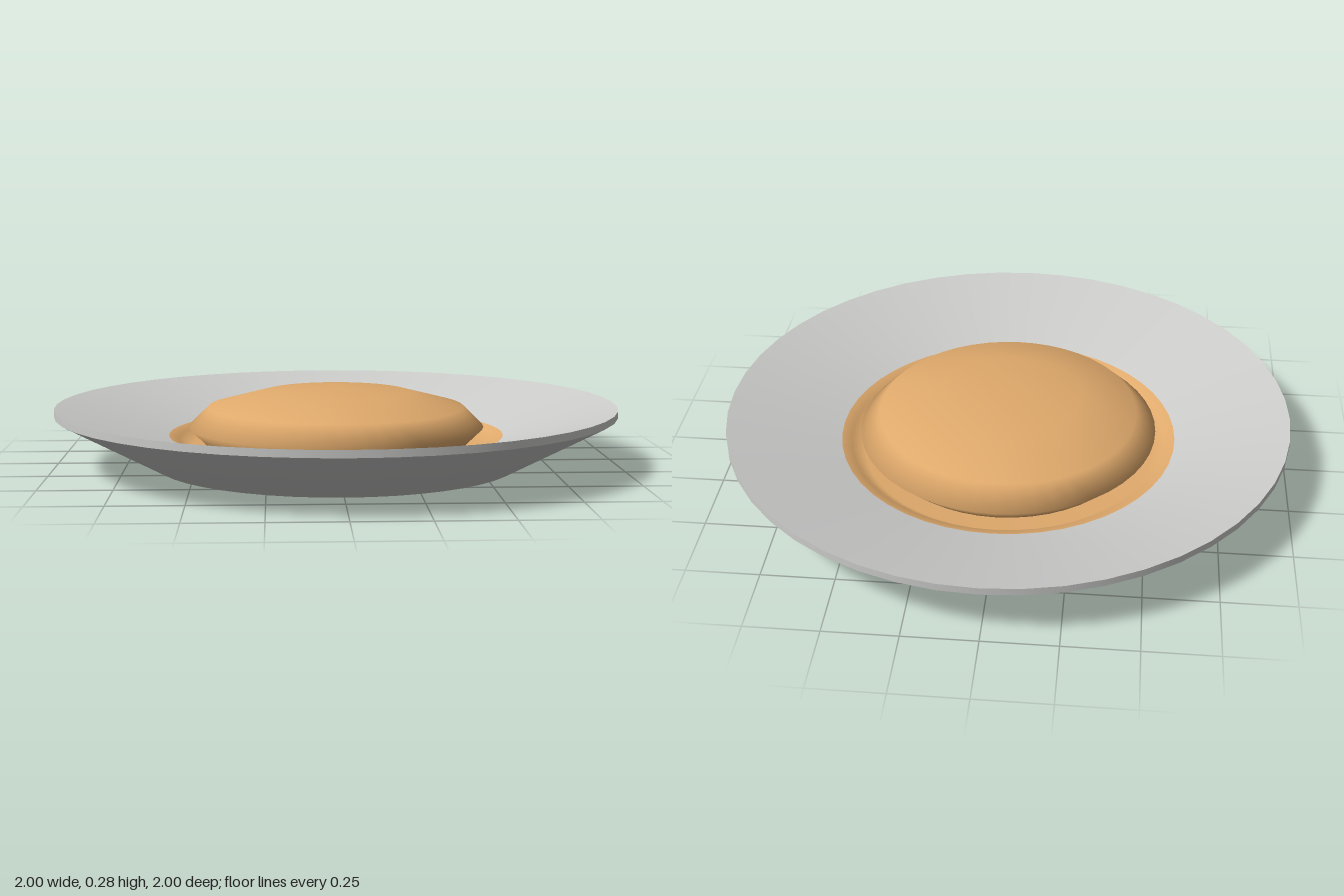
import * as THREE from 'three';

const SEGMENTS = 48;

// Revolve a list of [radius, height] pairs around y
function lathe(name, points, material) {
  const profile = points.map(([r, y]) => new THREE.Vector2(r, y));
  const mesh = new THREE.Mesh(new THREE.LatheGeometry(profile, SEGMENTS), material);
  mesh.name = name;
  return mesh;
}

export function createModel() {
  const group = new THREE.Group();
  group.name = 'plateOfFood';

  const ceramic = new THREE.MeshStandardMaterial({ color: 0xcccccb });
  ceramic.name = 'pale grey ceramic';
  const golden = new THREE.MeshStandardMaterial({ color: 0xe0aa6c });
  golden.name = 'golden tan food';

  // Plate: flat foot, flared underside, thin lip
  group.add(lathe('plateUnderside', [[0, 0], [0.65, 0], [1, 0.19]], ceramic));
  group.add(lathe('plateLip', [[1, 0.19], [1, 0.215]], ceramic));
  // Sloping inside of the plate
  group.add(lathe('plateInside', [[1, 0.215], [0.6, 0.107]], ceramic));

  // Tan well in the middle of the plate
  group.add(lathe('well', [[0.6, 0.107], [0.565, 0.095], [0.52, 0.06], [0, 0.05]], golden));

  // Flattened mound sitting in the well
  const mound = new THREE.Mesh(new THREE.SphereGeometry(0.53, SEGMENTS, 6), golden);
  mound.name = 'foodMound';
  mound.scale.y = 0.14 / 0.53;
  mound.position.y = 0.135;
  // Keep the buried underside above the plate foot
  const pos = mound.geometry.attributes.position;
  for (let i = 0; i < pos.count; i++) pos.setY(i, Math.max(pos.getY(i), -0.46));
  group.add(mound);

  return group;
}
